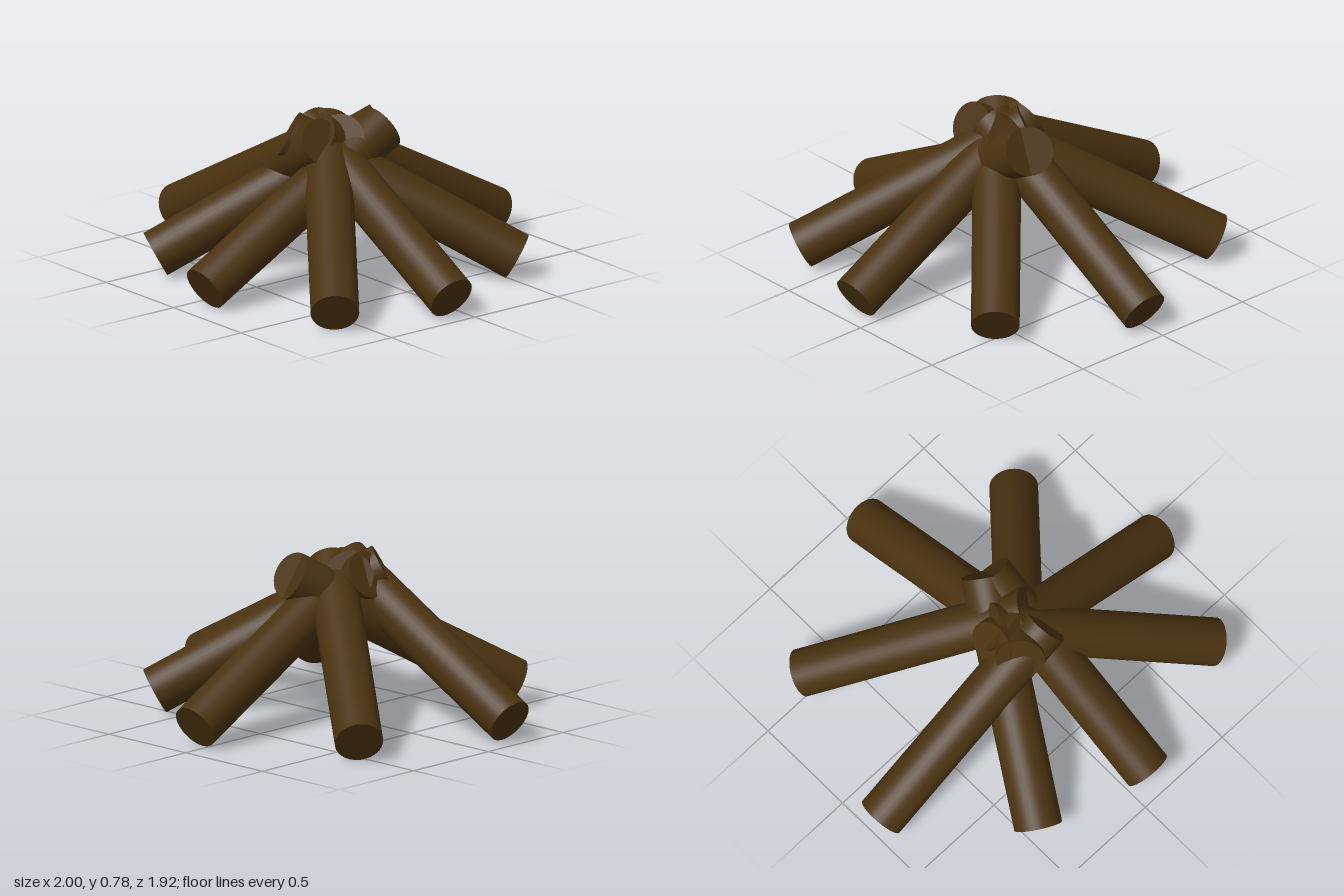
import * as THREE from 'three';

const RADIUS = 0.114;
const TILT = THREE.MathUtils.degToRad(28.5); // slope of every log
const LENGTH = 1.216;

// Lower end centre (x, z) and the outward heading of each log seen from above
const LOGS = [
  ['rightwardLog', 0.945, 0.095, 1, 0],
  ['leftwardLog', -0.945, 0.2, -1, 0],
  ['backLog', 0.03, -0.905, 0, -1],
  ['frontLog', 0.11, 0.902, 0, 1],
  ['backDiagonalLogA', -0.714, -0.573, -0.78, -0.625],
  ['backDiagonalLogB', 0.642, -0.544, 0.676, -0.737],
  ['frontDiagonalLogA', 0.78, 0.662, 0.8, 0.6],
  ['frontDiagonalLogB', -0.449, 0.744, -0.51, 0.86],
];

export function createModel() {
  const group = new THREE.Group();
  group.name = 'logPile';

  const bark = new THREE.MeshStandardMaterial({ color: 0x4a3210 });
  bark.name = 'dark brown wood';

  // Log standing on its lower end, so it can be placed by that end
  const logGeometry = new THREE.CylinderGeometry(RADIUS, RADIUS, LENGTH, 32);
  logGeometry.translate(0, LENGTH / 2, 0);

  const up = new THREE.Vector3(0, 1, 0);
  for (const [name, x, z, hx, hz] of LOGS) {
    // Logs lean inward and cross over each other at the top
    const axis = new THREE.Vector3(-hx, 0, -hz).normalize().multiplyScalar(Math.cos(TILT));
    axis.y = Math.sin(TILT);
    const log = new THREE.Mesh(logGeometry, bark);
    log.name = name;
    log.position.set(x, RADIUS * Math.cos(TILT), z);
    log.quaternion.setFromUnitVectors(up, axis.normalize());
    group.add(log);
  }
  return group;
}
